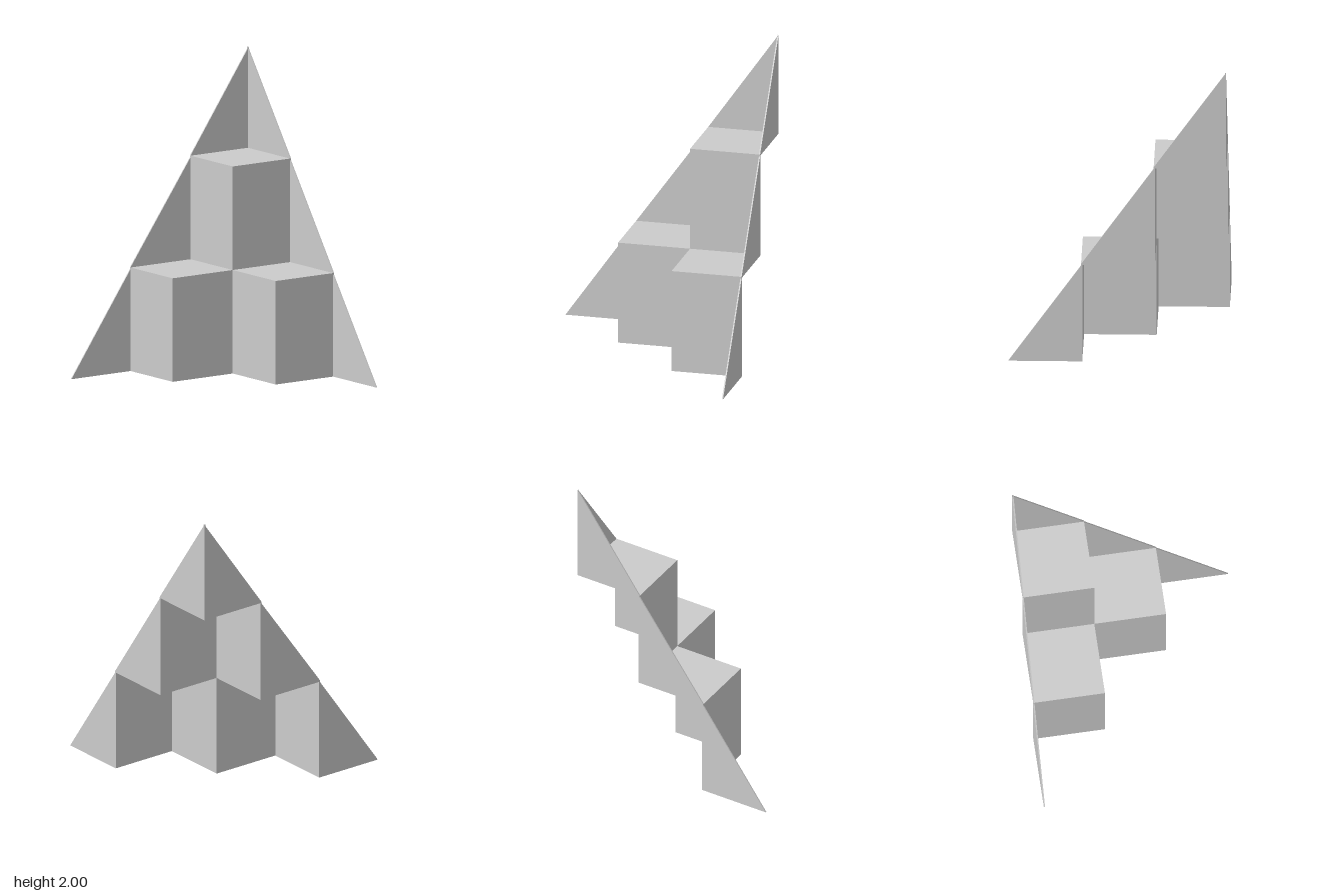
import * as THREE from 'three';

// Outer faces of the wall planes, and the step heights from the top down
const X = [-0.688, -0.234, 0.229, 0.693];
const Z = [-0.694, -0.24, 0.235, 0.702];
const Y = [2, 1.344, 0.672, 0];
const T = 0.008;

const material = new THREE.MeshStandardMaterial({ color: 0xcccccc, flatShading: true });

// Thin upright panel: a rectangle, or a right triangle on the sloping edge
function panelGeometry(width, height, triangular) {
  const shape = new THREE.Shape();
  shape.moveTo(0, 0);
  shape.lineTo(width, 0);
  if (!triangular) shape.lineTo(width, height);
  shape.lineTo(0, height);
  shape.closePath();
  return new THREE.ExtrudeGeometry(shape, { depth: T, bevelEnabled: false });
}

export function createModel() {
  const model = new THREE.Group();
  model.name = 'steppedCornerShell';

  function add(name, geometry, x, y, z) {
    const mesh = new THREE.Mesh(geometry, material);
    mesh.name = name;
    mesh.position.set(x, y, z);
    model.add(mesh);
    return mesh;
  }

  // Each level down has one more corner unit: two walls and a step
  for (let level = 0; level < 3; level++) {
    const base = Y[level + 1];
    const height = Y[level] - base;
    for (let i = 0; i <= level; i++) {
      const j = level - i;
      const x0 = X[i] - T, x1 = X[i + 1];
      const z0 = Z[j] - T, z1 = Z[j + 1];

      // Wall facing the front
      add(j === 0 ? 'backTriangle' : 'frontWall',
        panelGeometry(x1 - x0, height, j === 0), x0, base, z0);

      // Wall facing sideways
      const side = add(i === 0 ? 'sideTriangle' : 'sideWall',
        panelGeometry(z1 - z0, height, i === 0), X[i], base, z0);
      side.rotation.y = -Math.PI / 2;

      // Flat step at the foot of the walls; the lowest level is open below
      if (level < 2) {
        add('stepTop', new THREE.BoxGeometry(x1 - x0, T, z1 - z0),
          (x0 + x1) / 2, base - T / 2, (z0 + z1) / 2);
      }
    }
  }
  return model;
}
